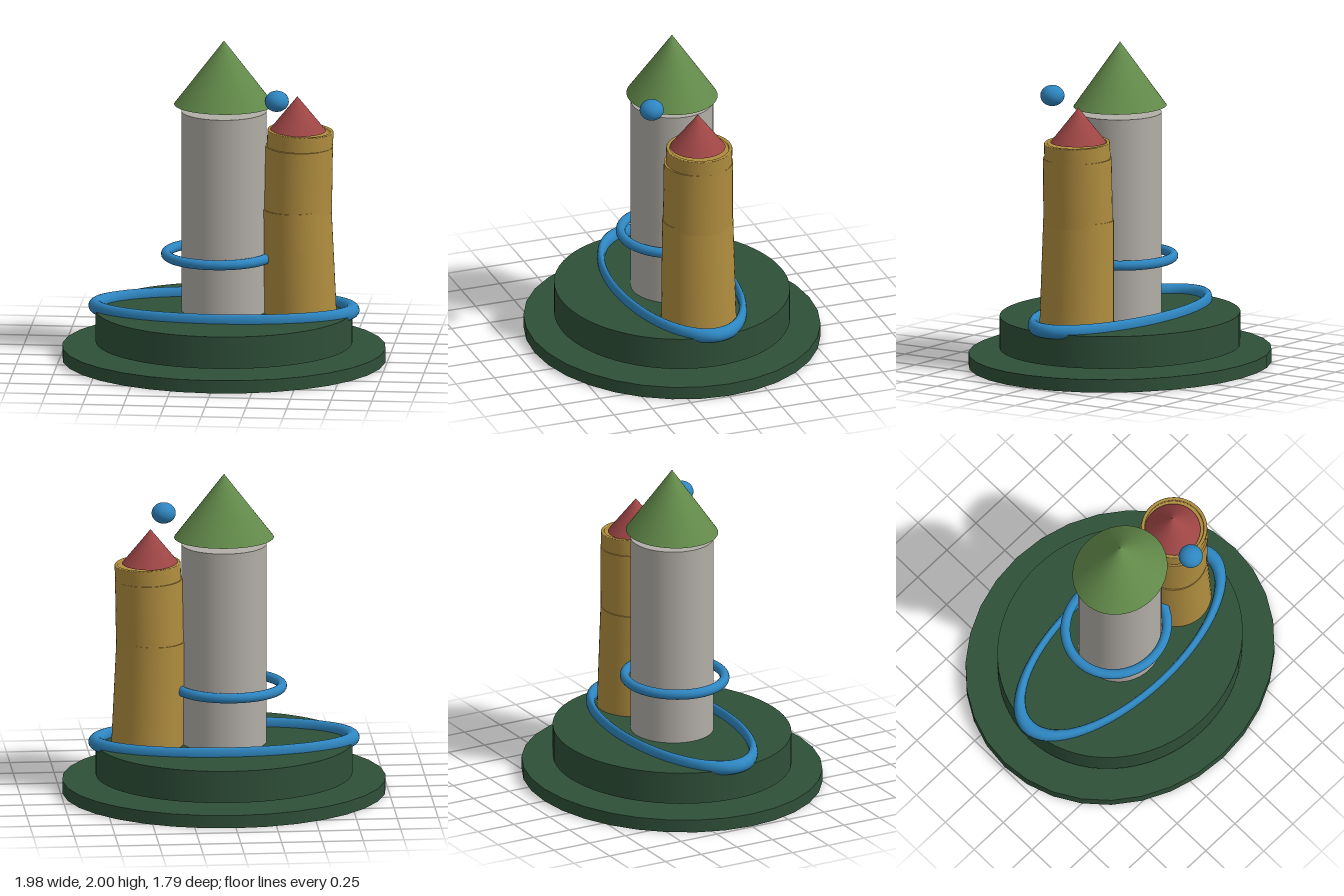
import * as THREE from 'three';

const material = (name, color) => {
  const m = new THREE.MeshStandardMaterial({ color });
  m.name = name;
  return m;
};

export function createModel() {
  const model = new THREE.Group();
  model.name = 'twinTowers';

  const darkGreen = material('dark green', 0x2f5039);
  const leafGreen = material('leaf green', 0x628a4a);
  const stone = material('stone grey', 0xb2aea7);
  const ochre = material('ochre', 0xb08d3f);
  const red = material('brick red', 0x9e4545);
  const blue = material('blue', 0x2e86c1);

  const add = (name, geometry, mat, x, y, z, parent = model) => {
    const mesh = new THREE.Mesh(geometry, mat);
    mesh.name = name;
    mesh.position.set(x, y, z);
    parent.add(mesh);
    return mesh;
  };

  // Upright cylinder or cone between two heights, with an oval plan
  const drum = (name, mat, rTop, rBottom, y0, y1, depth, x = 0, sides = 48, parent = model) => {
    const g = new THREE.CylinderGeometry(rTop, rBottom, y1 - y0, sides);
    g.scale(1, 1, depth);
    return add(name, g, mat, x, (y0 + y1) / 2, 0, parent);
  };

  // Flat ring lying around the y axis, with an oval plan
  const hoop = (name, radius, tube, depth, x, y) => {
    const g = new THREE.TorusGeometry(radius, tube, 16, 64);
    g.rotateX(Math.PI / 2);
    g.scale(1, 1, depth);
    return add(name, g, blue, x, y, 0);
  };

  // Stepped oval base
  drum('baseDisc', darkGreen, 0.99, 0.99, 0, 0.08, 0.904, 0, 32);
  drum('upperDisc', darkGreen, 0.785, 0.785, 0.11, 0.31, 0.905, 0, 64);

  // Main tower with its floating cone roof
  drum('mainTower', stone, 0.261, 0.261, 0.31, 1.56, 0.965);
  drum('mainRoof', leafGreen, 0, 0.305, 1.6, 2, 0.9);

  // Rings
  hoop('baseRing', 0.787, 0.044, 0.455, 0, 0.322);
  hoop('towerRing', 0.321, 0.031, 0.935, -0.033, 0.66);

  // Side tower: three slightly leaning sections
  const side = new THREE.Group();
  side.name = 'sideTower';
  model.add(side);
  drum('lowerSection', ochre, 0.21, 0.222, 0.295, 0.967, 1.04, 0.458, 48, side).rotation.z = 0.03;
  drum('middleSection', ochre, 0.206, 0.208, 0.94, 1.35, 1.03, 0.457, 48, side).rotation.z = -0.02;

  // Top section is a cup with a raised lip
  const cup = new THREE.LatheGeometry(
    [[0.2, -0.1], [0.202, -0.1], [0.202, 0.043], [0.199, 0.048], [0.183, 0.048], [0.18, 0.043], [0.18, 0.025], [0, 0.025]]
      .map(([x, y]) => new THREE.Vector2(x, y)), 48);
  add('topSection', cup, ochre, 0.467, 1.4, -0.003, side).rotation.z = -0.045;
  drum('sideRoof', red, 0, 0.174, 1.445, 1.66, 0.97, 0.45, 48, side);

  // Floating ball beside the roofs
  const ball = new THREE.SphereGeometry(0.074, 24, 16);
  ball.scale(1, 0.87, 1);
  add('ball', ball, blue, 0.348, 1.69, 0.262);

  return model;
}
